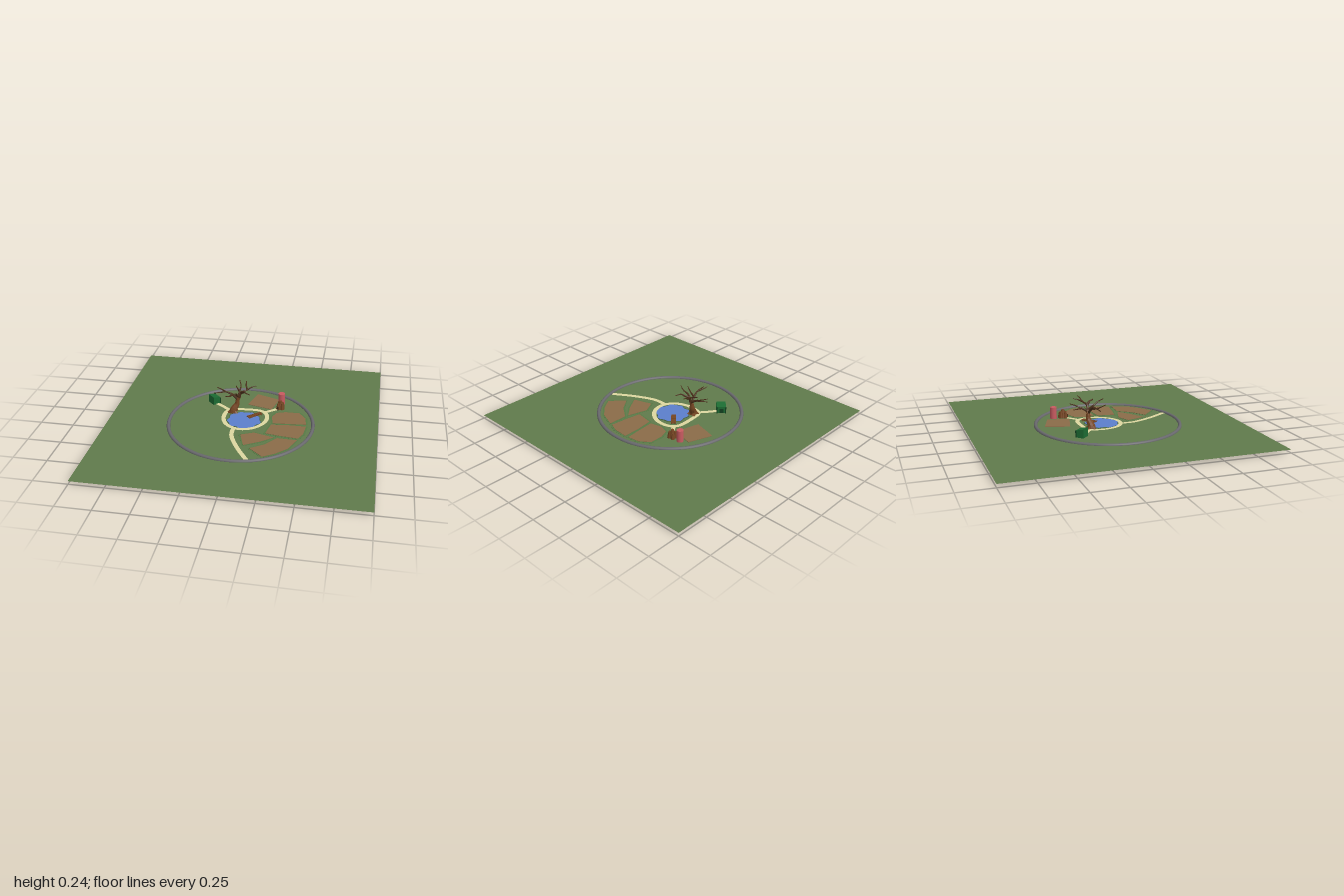
import * as THREE from 'three';

const GROUND = 0.02;
const mat = (color, extra = {}) => new THREE.MeshStandardMaterial({ color, ...extra });
const green = mat(0x607a4b, { side: THREE.DoubleSide });
const trim = mat(0x557a45);
const soil = mat(0x8a6b48);
const sand = mat(0xdcd6a0, { side: THREE.DoubleSide });
const water = mat(0x5b7fcb);
const bark = mat(0x4a2f1a, { flatShading: true });
const wood = mat(0x754522, { flatShading: true });
const hedge = mat(0x1c6b32, { flatShading: true });
const darkHedge = mat(0x12401f, { flatShading: true });
const red = mat(0xc85a60);
const stone = mat(0x68686c);

const v3 = (p) => new THREE.Vector3(...p);

function add(parent, name, geometry, material, x = 0, y = 0, z = 0) {
  const mesh = new THREE.Mesh(geometry, material);
  mesh.name = name;
  mesh.position.set(x, y, z);
  parent.add(mesh);
  return mesh;
}

// Flat slab from an outline of [x, z] points, spanning y0 to y1
function slab(points, y0, y1) {
  const shape = new THREE.Shape(points.map(([x, z]) => new THREE.Vector2(x, -z)));
  return new THREE.ExtrudeGeometry(shape, { depth: y1 - y0, bevelEnabled: false })
    .rotateX(-Math.PI / 2).translate(0, y0, 0);
}

// Grow an outline outward from its middle
function grow(points, d) {
  const n = points.length;
  const cx = points.reduce((s, p) => s + p[0], 0) / n;
  const cz = points.reduce((s, p) => s + p[1], 0) / n;
  return points.map(([x, z]) => {
    const l = Math.hypot(x - cx, z - cz);
    return [x + (x - cx) / l * d, z + (z - cz) / l * d];
  });
}

// Flat ribbon that follows a curve through [x, z] points
function ribbon(points, width, y, closed = false) {
  const curve = new THREE.CatmullRomCurve3(points.map(([x, z]) => new THREE.Vector3(x, y, z)), closed);
  const n = 48, pos = [], index = [];
  for (let i = 0; i <= n; i++) {
    const p = curve.getPointAt(i / n), t = curve.getTangentAt(i / n);
    const s = width / 2;
    pos.push(p.x + t.z * s, y, p.z - t.x * s, p.x - t.z * s, y, p.z + t.x * s);
    if (i < n) {
      const a = i * 2;
      index.push(a, a + 1, a + 2, a + 1, a + 3, a + 2);
    }
  }
  // Keep every face pointing up
  for (let i = 0; i < index.length; i += 3) [index[i + 1], index[i + 2]] = [index[i + 2], index[i + 1]];
  const g = new THREE.BufferGeometry();
  g.setAttribute('position', new THREE.Float32BufferAttribute(pos, 3));
  g.setIndex(index);
  g.setAttribute('normal', new THREE.Float32BufferAttribute(pos.map((_, i) => (i % 3 === 1 ? 1 : 0)), 3));
  return g;
}

// Tube that thins from radius r0 to r1
function limb(points, r0, r1, sides = 7) {
  const curve = new THREE.CatmullRomCurve3(points.map(v3));
  const n = 12;
  const g = new THREE.TubeGeometry(curve, n, 1, sides);
  const pos = g.attributes.position, p = new THREE.Vector3();
  for (let i = 0; i <= n; i++) {
    const c = curve.getPointAt(i / n);
    const r = r1 + (r0 - r1) * Math.pow(1 - i / n, 1.4);
    for (let j = 0; j <= sides; j++) {
      const k = i * (sides + 1) + j;
      p.fromBufferAttribute(pos, k).sub(c).multiplyScalar(r).add(c);
      pos.setXYZ(k, p.x, p.y, p.z);
    }
  }
  g.computeVertexNormals();
  return g;
}

export function createModel() {
  const model = new THREE.Group();
  model.name = 'garden';

  // Lawn and round boundary wall
  add(model, 'lawn', new THREE.PlaneGeometry(2, 2).rotateX(-Math.PI / 2), green, 0, GROUND, 0);
  add(model, 'boundaryWall', new THREE.TorusGeometry(0.538, 0.0135, 12, 96).rotateX(Math.PI / 2), stone, -0.012, 0.021, 0.04);

  // Pond with a wavy bank
  const pond = [];
  for (let i = 0; i < 60; i++) {
    const a = i / 60 * Math.PI * 2;
    const r = 0.122 + 0.006 * Math.sin(9 * a) + 0.004 * Math.sin(5 * a + 1);
    pond.push([0.005 + r * Math.cos(a), r * Math.sin(a)]);
  }
  add(model, 'pondBank', slab(grow(pond, 0.005), GROUND - 0.003, GROUND + 0.002), mat(0x3c5a38));
  add(model, 'pondWater', slab(pond, GROUND, GROUND + 0.003), water);

  // Sandy paths
  const paths = new THREE.Group();
  paths.name = 'paths';
  model.add(paths);
  add(paths, 'pondPath', ribbon([[-0.13, -0.14], [-0.155, -0.03], [-0.12, 0.075], [-0.05, 0.13], [0.03, 0.135],
    [0.11, 0.09], [0.165, 0.0], [0.165, -0.1], [0.12, -0.157], [-0.02, -0.165]], 0.032, GROUND + 0.003, true), sand);
  add(paths, 'entrancePath', ribbon([[-0.052, 0.13], [-0.045, 0.24], [0.02, 0.39], [0.115, 0.545]], 0.032, GROUND + 0.0035), sand);
  add(paths, 'hedgePath', ribbon([[-0.125, -0.13], [-0.18, -0.175], [-0.25, -0.225]], 0.03, GROUND + 0.0035), sand);
  add(paths, 'hutPath', ribbon([[0.14, -0.14], [0.19, -0.18], [0.24, -0.22]], 0.03, GROUND + 0.0035), sand);

  // Soil plots with grassy trim
  const plots = [
    [[0.045, -0.43], [0.225, -0.365], [0.185, -0.2], [-0.005, -0.25]],
    [[0.23, -0.15], [0.3, -0.175], [0.405, -0.175], [0.46, -0.1], [0.47, -0.01], [0.37, 0.0], [0.225, 0.01], [0.205, -0.08]],
    [[0.215, 0.035], [0.34, 0.02], [0.475, 0.02], [0.465, 0.13], [0.435, 0.2], [0.3, 0.185], [0.19, 0.165]],
    [[0.015, 0.215], [0.11, 0.17], [0.26, 0.215], [0.17, 0.29], [0.06, 0.355]],
    [[0.285, 0.22], [0.43, 0.225], [0.38, 0.35], [0.3, 0.43], [0.215, 0.485], [0.11, 0.39], [0.21, 0.32]],
  ];
  plots.forEach((p, i) => {
    if (i) add(model, 'plotTrim', slab(grow(p, 0.014), GROUND - 0.002, GROUND + 0.001), trim);
    add(model, 'soilPlot', slab(p, GROUND - 0.003, GROUND + 0.003), soil);
  });

  // Gnarled bare tree
  const tree = new THREE.Group();
  tree.name = 'tree';
  model.add(tree);
  add(tree, 'trunk', limb([[-0.1, 0, -0.115], [-0.095, 0.04, -0.115], [-0.07, 0.085, -0.13], [-0.065, 0.125, -0.13], [-0.05, 0.15, -0.13]], 0.036, 0.012, 9), wood);
  for (const [x, z] of [[-0.135, -0.1], [-0.06, -0.09], [-0.12, -0.15], [-0.07, -0.15]])
    add(tree, 'root', limb([[x, 0.012, z], [(x - 0.1) / 2, 0.035, (z - 0.115) / 2], [-0.088, 0.07, -0.12]], 0.012, 0.008, 5), wood);
  const branches = [
    [[-0.06, 0.12, -0.13], [-0.1, 0.165, -0.12], [-0.15, 0.19, -0.11], [-0.19, 0.187, -0.1], [-0.24, 0.183, -0.09]],
    [[-0.15, 0.19, -0.11], [-0.19, 0.2, -0.13], [-0.225, 0.208, -0.14]],
    [[-0.1, 0.165, -0.12], [-0.12, 0.175, -0.07], [-0.14, 0.2, -0.02]],
    [[-0.055, 0.14, -0.13], [-0.035, 0.185, -0.13], [0.005, 0.2, -0.15], [0.035, 0.22, -0.16], [0.07, 0.23, -0.17]],
    [[-0.035, 0.185, -0.13], [-0.01, 0.205, -0.1], [0.0, 0.21, -0.08], [0.04, 0.205, -0.06]],
    [[0.005, 0.2, -0.15], [-0.01, 0.222, -0.19], [-0.015, 0.235, -0.23]],
    [[-0.055, 0.14, -0.13], [-0.06, 0.17, -0.18], [-0.055, 0.19, -0.22], [-0.075, 0.215, -0.275]],
    [[-0.06, 0.17, -0.18], [-0.08, 0.17, -0.215], [-0.1, 0.172, -0.255]],
    [[-0.05, 0.145, -0.13], [-0.07, 0.185, -0.09], [-0.06, 0.21, -0.05], [-0.07, 0.23, -0.015]],
  ];
  branches.forEach((b) => add(tree, 'branch', limb(b, b.length > 3 ? 0.011 : 0.008, 0.003, 6), bark));

  // Plank jetty over the pond
  const jetty = new THREE.Group();
  jetty.name = 'jetty';
  jetty.position.set(0.075, GROUND + 0.01, -0.077);
  jetty.rotation.y = Math.PI / 4 - 0.05;
  model.add(jetty);
  for (let i = 0; i < 7; i++)
    add(jetty, 'plank', new THREE.BoxGeometry(0.016, 0.004, 0.036), wood, (i - 3) * 0.0175, 0, 0);
  for (const z of [-0.013, 0.013]) {
    add(jetty, 'beam', new THREE.BoxGeometry(0.12, 0.004, 0.004), wood, 0, -0.003, z);
    for (const x of [-0.05, 0, 0.05])
      add(jetty, 'post', new THREE.CylinderGeometry(0.003, 0.003, 0.02, 6), wood, x, -0.007, z);
  }

  // Green shelter with a stepped, sloping roof
  const shelter = new THREE.Group();
  shelter.name = 'greenShelter';
  shelter.position.set(-0.27, GROUND, -0.243);
  shelter.rotation.y = Math.PI / 4;
  model.add(shelter);
  const side = new THREE.Shape([[-0.03, 0], [0.03, 0], [0.03, 0.052], [-0.03, 0.065]].map((p) => new THREE.Vector2(...p)));
  add(shelter, 'body', new THREE.ExtrudeGeometry(side, { depth: 0.07, bevelEnabled: false }).translate(0, 0, -0.035), hedge);
  add(shelter, 'doorway', new THREE.BoxGeometry(0.004, 0.036, 0.03), darkHedge, 0.03, 0.018, 0);
  for (const z of [-0.032, 0.032])
    add(shelter, 'cornerPost', new THREE.BoxGeometry(0.008, 0.05, 0.008), darkHedge, 0.03, 0.025, z);

  // Rough wooden hut made of leaning cones
  const hut = new THREE.Group();
  hut.name = 'hut';
  hut.position.set(0.25, 0, -0.235);
  model.add(hut);
  for (const [x, z, r, h] of [[0, 0, 0.03, 0.083], [-0.014, 0.018, 0.02, 0.072], [0.016, 0.014, 0.02, 0.07],
    [-0.012, -0.018, 0.02, 0.07], [0.016, -0.018, 0.018, 0.062]])
    add(hut, 'stump', new THREE.CylinderGeometry(r * 0.4, r, h - 0.01, 7), wood, x, 0.01 + (h - 0.01) / 2, z);
  add(hut, 'doorway', new THREE.BoxGeometry(0.016, 0.026, 0.006), bark, -0.016, GROUND + 0.013, 0.032).rotation.y = -Math.PI / 4;

  // Red water tank
  add(model, 'redTank', new THREE.CylinderGeometry(0.025, 0.025, 0.09, 24), red, 0.25, GROUND + 0.045, -0.308);

  return model;
}
